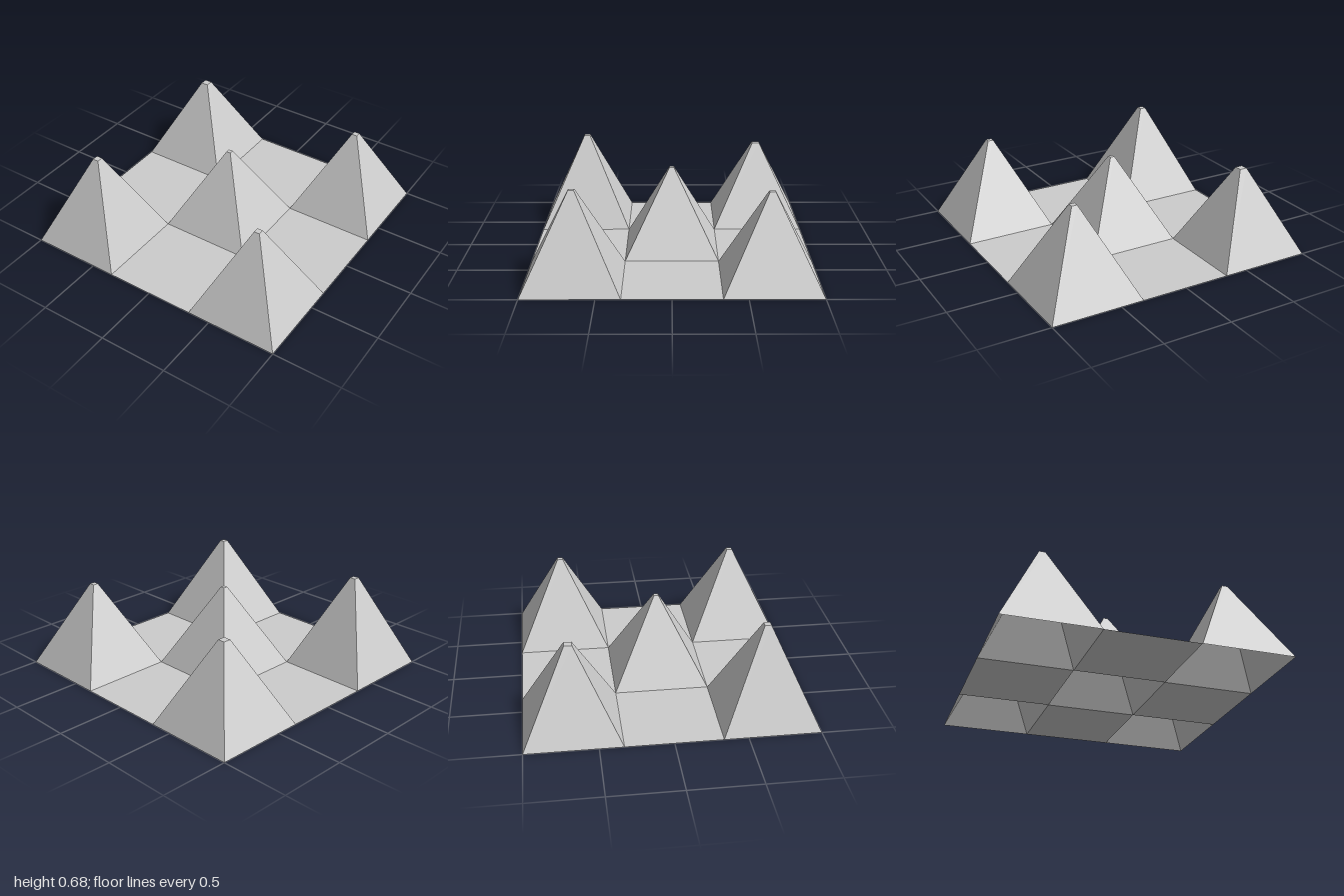
import * as THREE from 'three';

const TILE = 2 / 3;

export function createModel() {
  const model = new THREE.Group();
  model.name = 'pyramidBoard';

  // Thin open sheets, seen from both sides
  const grey = new THREE.MeshStandardMaterial({ color: 0xcccccc, side: THREE.DoubleSide, flatShading: true });
  grey.name = 'lightGrey';

  const add = (parent, geometry, name, y = 0) => {
    const mesh = new THREE.Mesh(geometry, grey);
    mesh.name = name;
    mesh.position.y = y;
    parent.add(mesh);
  };
  const square = (size) => new THREE.PlaneGeometry(size, size).rotateX(-Math.PI / 2);

  // Hollow four-sided peak, open below, with a small flat cap
  function peak(height, cap) {
    const group = new THREE.Group();
    const sides = new THREE.CylinderGeometry(cap / Math.SQRT2, TILE / Math.SQRT2, height, 4, 1, true)
      .rotateY(Math.PI / 4).toNonIndexed();
    sides.computeVertexNormals();
    add(group, sides, 'peakSides', height / 2);
    add(group, square(cap), 'peakCap', height);
    return group;
  }

  // Height and cap width of each peak, by column and row
  const peaks = {
    '-1,-1': [0.615, 0.054],
    '1,-1': [0.63, 0.04],
    '0,0': [0.605, 0.032],
    '-1,1': [0.675, 0.044],
    '1,1': [0.642, 0.04],
  };

  // Three by three checker of peaks and flat tiles
  for (let col = -1; col <= 1; col++) {
    for (let row = -1; row <= 1; row++) {
      const spec = peaks[`${col},${row}`];
      const cell = spec ? peak(...spec) : new THREE.Group();
      cell.name = spec ? 'peak' : 'flatCell';
      if (!spec) add(cell, square(TILE), 'flatTile');
      cell.position.set(col * TILE, 0, row * TILE);
      model.add(cell);
    }
  }
  return model;
}
